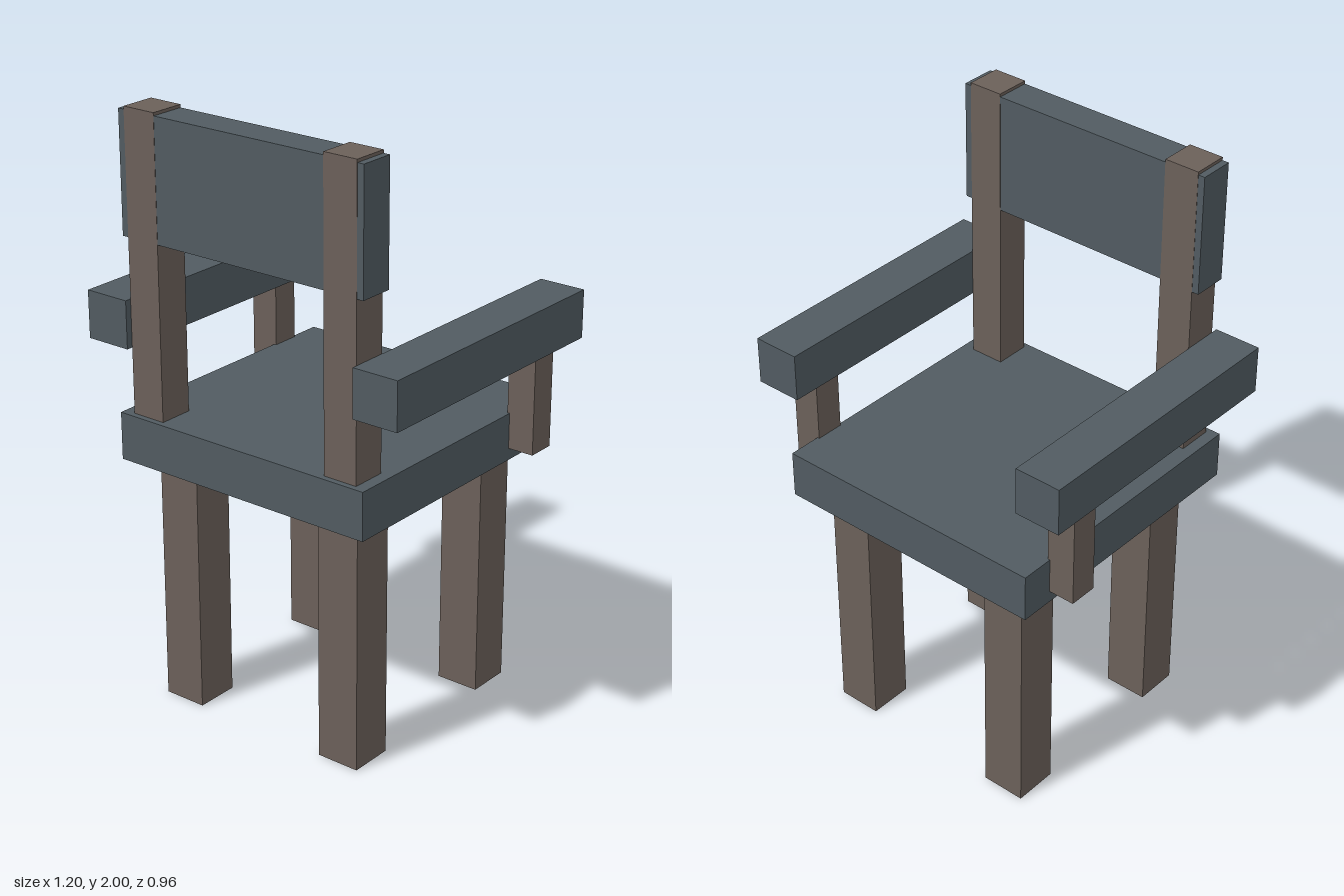
import * as THREE from 'three';

export function createModel() {
  const chair = new THREE.Group();
  chair.name = 'armchair';
  const slate = new THREE.MeshStandardMaterial({ color: 0x515b61 });
  const wood = new THREE.MeshStandardMaterial({ color: 0x6b6059 });

  // Box given by its extents along each axis
  function block(name, material, [x0, x1], [y0, y1], [z0, z1]) {
    const mesh = new THREE.Mesh(new THREE.BoxGeometry(x1 - x0, y1 - y0, z1 - z0), material);
    mesh.position.set((x0 + x1) / 2, (y0 + y1) / 2, (z0 + z1) / 2);
    mesh.name = name;
    chair.add(mesh);
  }

  // Same box on both sides of the chair
  function pair(name, material, [x0, x1], y, z) {
    block(name + 'Left', material, [x0, x1], y, z);
    block(name + 'Right', material, [-x1, -x0], y, z);
  }

  // Seat and its four legs
  block('seat', slate, [-0.48, 0.48], [0.85, 1.01], [-0.48, 0.48]);
  pair('frontLeg', wood, [0.245, 0.395], [0, 0.85], [-0.395, -0.245]);
  pair('backLeg', wood, [0.245, 0.395], [0, 0.85], [0.245, 0.395]);

  // Backrest: the panel sits a hair inside the post faces
  pair('backPost', wood, [0.32, 0.44], [1.0, 2.0], [0.34, 0.46]);
  block('backPanel', slate, [-0.463, 0.463], [1.59, 1.99], [0.341, 0.459]);

  // Armrests and their front supports
  pair('armrest', slate, [0.442, 0.602], [1.23, 1.39], [-0.48, 0.48]);
  pair('armSupport', wood, [0.472, 0.57], [0.89, 1.23], [-0.367, -0.27]);

  return chair;
}
